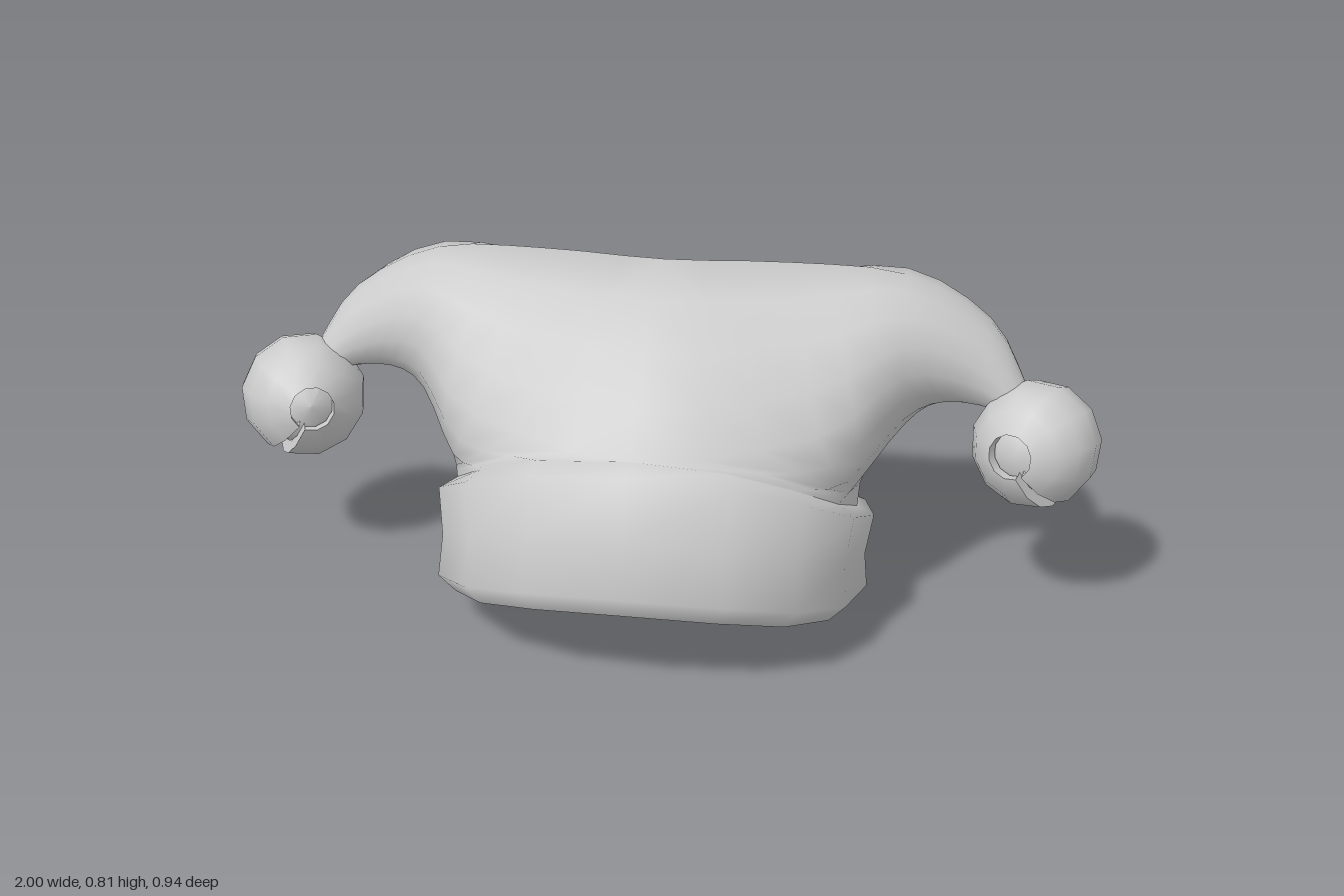
import * as THREE from 'three';
import { mergeGeometries, mergeVertices } from 'three/addons/utils/BufferGeometryUtils.js';

const V = (x, y, z) => new THREE.Vector3(x, y, z);
const SIDES = 16;

// Skin a list of closed rings with equal point counts
function loft(rings) {
  const n = rings[0].length, pos = [], idx = [];
  rings.forEach((r) => r.forEach((p) => pos.push(p.x, p.y, p.z)));
  for (let v = 0; v < rings.length - 1; v++) {
    for (let u = 0; u < n; u++) {
      const k = (u + 1) % n;
      const a = v * n + u, b = v * n + k, c = a + n, d = b + n;
      idx.push(a, b, d, a, d, c);
    }
  }
  const g = new THREE.BufferGeometry();
  g.setAttribute('position', new THREE.Float32BufferAttribute(pos, 3));
  g.setIndex(idx);
  g.computeVertexNormals();
  return g;
}

// Mirror across x = 0, keeping faces outward
function mirrored(geo) {
  const g = geo.clone().scale(-1, 1, 1);
  const ix = g.index.array;
  for (let i = 0; i < ix.length; i += 3) [ix[i + 1], ix[i + 2]] = [ix[i + 2], ix[i + 1]];
  g.computeVertexNormals();
  return g;
}

// Slightly squared, tilted ring of the band, starting at the front
function bandRing(rx, front, back, blend, dyBack, dyFront) {
  const { lerp } = THREE.MathUtils;
  const square = (v) => Math.sign(v) * Math.abs(v) ** 0.85;
  return Array.from({ length: SIDES }, (_, i) => {
    const a = (i / SIDES) * Math.PI * 2, s = (1 + square(Math.cos(a))) / 2;
    const low = 0.003 + 0.1 * s + 0.107 * s ** 4;
    const high = 0.15 + 0.16 * s + 0.21 * s ** 3;
    const y = lerp(low, high, blend) + lerp(dyBack, dyFront, s);
    return V(rx * square(Math.sin(a)), y, back + (front - back) * s);
  });
}

const seam = bandRing(0.462, 0.335, -0.432, 1, 0.012, 0.01);
const lip = bandRing(0.455, 0.438, -0.41, 0, 0, 0);

// Ring around a horn: top, front, bottom, back
function hornRing(x, y, z, ux, uy, rz) {
  return Array.from({ length: SIDES }, (_, i) => {
    const a = (i / SIDES) * Math.PI * 2, c = Math.cos(a);
    return V(x + ux * c, y + uy * c, z + rz * Math.sin(a));
  });
}

// Half of the crown: centre arch plus half the seam, drawn out into a horn
function hornGeometry() {
  const frontArch = [[0, 0.808, -0.14], [0, 0.768, 0.01], [0, 0.695, 0.135], [0, 0.61, 0.24]];
  const backArch = [[0, 0.33, -0.415], [0, 0.53, -0.415], [0, 0.69, -0.363]];
  const halfSeam = seam.slice(0, 9);
  halfSeam[8].x = 0;
  const centre = [...frontArch.map((p) => V(...p)), ...halfSeam, ...backArch.map((p) => V(...p))];
  const mouth = [
    [0.28, 0.802, -0.18], [0.31, 0.762, -0.06], [0.34, 0.692, 0.03], [0.36, 0.61, 0.10],
    [0.385, 0.53, 0.15], [0.415, 0.46, 0.15], [0.445, 0.40, 0.10], [0.465, 0.36, 0.02],
    [0.475, 0.34, -0.09], [0.47, 0.34, -0.19], [0.43, 0.34, -0.28], [0.37, 0.36, -0.34],
    [0.33, 0.42, -0.385], [0.3, 0.52, -0.41], [0.29, 0.63, -0.39], [0.28, 0.72, -0.335],
  ].map((p) => V(...p));
  const stations = [
    centre, mouth,
    hornRing(0.55, 0.6, -0.217, -0.01, 0.175, 0.187),
    hornRing(0.685, 0.57, -0.225, 0.055, 0.095, 0.127),
    hornRing(0.785, 0.515, -0.17, 0.04, 0.028, 0.06),
    hornRing(0.82, 0.47, -0.15, 0.035, 0.02, 0.04),
  ];
  // Smooth strands through the stations; centre points stay level across x = 0
  const strands = centre.map((p, i) => {
    const m = mouth[i];
    const before = p.x === 0 ? V(-m.x, m.y, m.z) : p.clone().multiplyScalar(2).sub(m);
    return new THREE.CatmullRomCurve3([before, ...stations.map((s) => s[i])], false, 'catmullrom', 0.5);
  });
  const steps = 15, rings = [];
  for (let k = 0; k <= steps; k++) {
    const t = (1 + (5 * k) / steps) / 6;
    rings.push(strands.map((s) => s.getPoint(t)));
  }
  return loft(rings);
}

// Jingle bell: a hole at each pole, joined by a groove round the underside
function bellGeometry() {
  const r = 0.147, wall = 0.03, gap = 0.28, hole = 0.36;
  const arc = Math.PI - 2 * hole, turn = Math.PI * 2 - gap;
  const parts = [
    new THREE.SphereGeometry(r, 11, 6, Math.PI + gap / 2, turn, hole, arc),
    new THREE.SphereGeometry(r - wall, 12, 8),
  ];
  for (const side of [-1, 1]) {
    // Walls along the groove and inside each hole
    parts.push(new THREE.RingGeometry(r - wall, r, 6, 1, hole - Math.PI / 2, arc).rotateY((side * gap) / 2));
    const rim = r * Math.sin(hole);
    parts.push(new THREE.CylinderGeometry(rim, rim, wall, 11, 1, true, (Math.PI + gap) / 2, turn)
      .translate(0, side * (r * Math.cos(hole) - wall / 2), 0));
  }
  const axis = V(-0.42, 0.15, 0.9).normalize();
  const slit = V(0.5, -0.86, 0.2);
  slit.addScaledVector(axis, -slit.dot(axis)).normalize();
  return mergeGeometries(parts)
    .applyMatrix4(new THREE.Matrix4().makeBasis(slit, axis, V(0, 0, 0).crossVectors(slit, axis)))
    .translate(0.856, 0.423, -0.115);
}

export function createModel() {
  const cloth = new THREE.MeshStandardMaterial({ color: 0xcccccc, side: THREE.DoubleSide });
  cloth.name = 'light grey';
  const hat = new THREE.Group();
  hat.name = 'jesterHat';
  const add = (name, geo) => {
    const mesh = new THREE.Mesh(geo, cloth);
    mesh.name = name;
    hat.add(mesh);
  };

  // Crown: both horns welded along the middle
  const horn = hornGeometry();
  const crown = mergeGeometries([horn, mirrored(horn)]);
  crown.deleteAttribute('normal');
  const welded = mergeVertices(crown, 1e-4);
  welded.computeVertexNormals();
  add('crown', welded);

  // Band: folded outside and plain lining
  add('band', loft([
    lip,
    bandRing(0.495, 0.468, -0.455, 0, 0.01, 0.055),
    bandRing(0.487, 0.428, -0.44, 0.5, 0, 0.02),
    bandRing(0.502, 0.385, -0.468, 1, -0.008, -0.005),
    seam,
  ]));
  add('bandLining', loft([seam, lip]));

  const bell = bellGeometry();
  add('leftBell', bell);
  add('rightBell', mirrored(bell));
  return hat;
}
